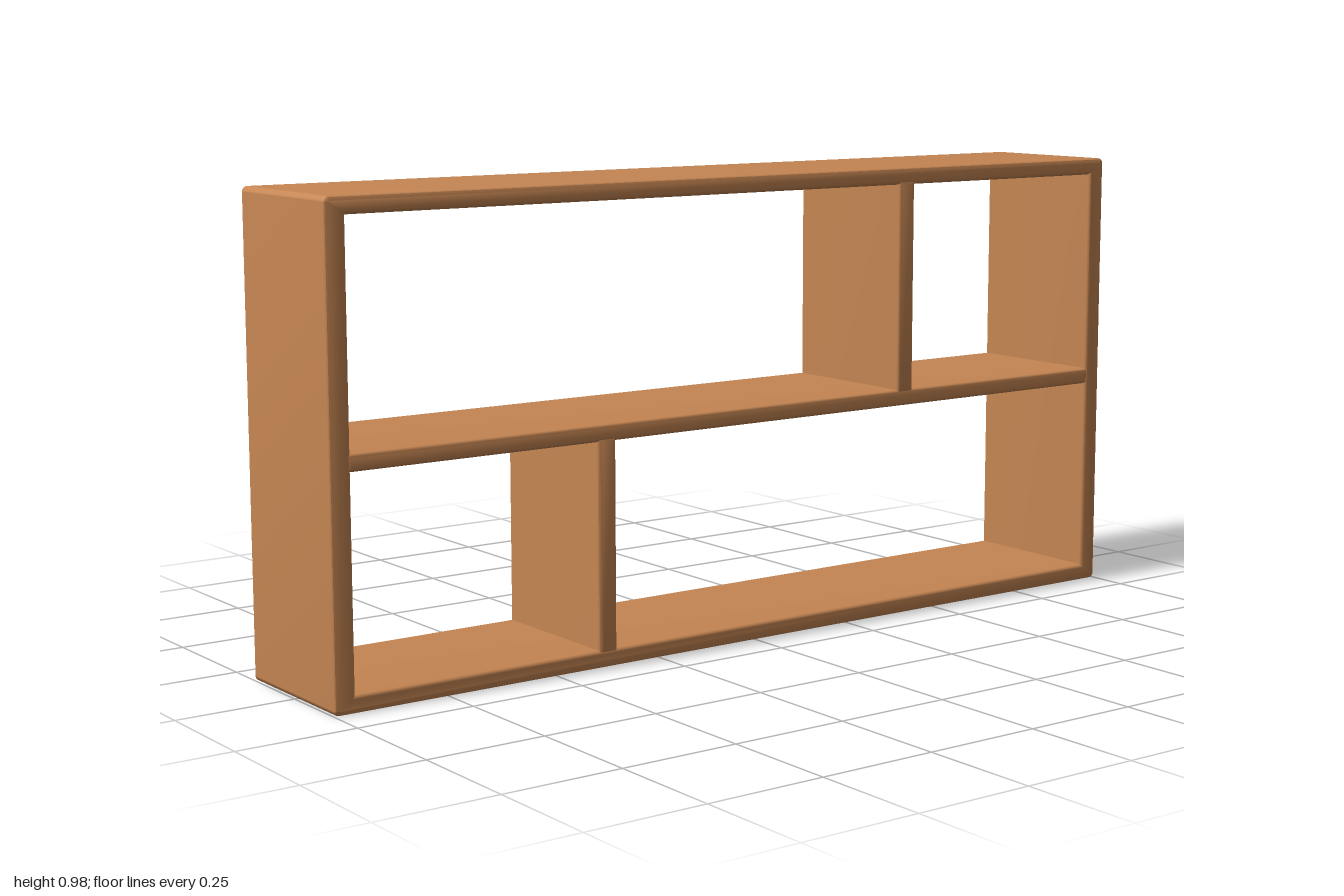
import * as THREE from 'three';
import { toCreasedNormals } from 'three/addons/utils/BufferGeometryUtils.js';

const BACK = -0.165, DEPTH = 0.33, ROUND = 0.009;

// Outline of a rectangle, optionally with rounded corners
function rect(PathType, x0, x1, y0, y1, r = 0) {
  const p = new PathType();
  if (r === 0) {
    p.moveTo(x0, y0).lineTo(x1, y0).lineTo(x1, y1).lineTo(x0, y1).closePath();
    return p;
  }
  const q = Math.PI / 2;
  p.moveTo(x0 + r, y0);
  p.absarc(x1 - r, y0 + r, r, -q, 0);
  p.absarc(x1 - r, y1 - r, r, 0, q);
  p.absarc(x0 + r, y1 - r, r, q, 2 * q);
  p.absarc(x0 + r, y0 + r, r, 2 * q, 3 * q);
  p.closePath();
  return p;
}

// Full-depth board: softened front edges, square flat back
function board(name, shape, material) {
  const geo = new THREE.ExtrudeGeometry(shape, {
    depth: DEPTH - ROUND, curveSegments: 4,
    bevelEnabled: true, bevelSize: ROUND, bevelOffset: -ROUND,
    bevelThickness: ROUND, bevelSegments: 4,
  });
  const pos = geo.attributes.position;
  for (let i = 0; i < pos.count; i++) pos.setZ(i, Math.max(pos.getZ(i), 0) + BACK);
  const mesh = new THREE.Mesh(toCreasedNormals(geo, 0.6), material);
  mesh.name = name;
  return mesh;
}

export function createModel() {
  const group = new THREE.Group();
  group.name = 'shelfUnit';
  const wood = new THREE.MeshStandardMaterial({ color: 0xc68653 });
  wood.name = 'warm wood';

  // Outer frame with a single opening
  const frame = rect(THREE.Shape, -1, 1, 0, 0.98, 0.011);
  frame.holes.push(rect(THREE.Path, -0.955, 0.955, 0.037, 0.944));
  group.add(board('outerFrame', frame, wood));

  // Middle shelf and the two staggered dividers, ends let into their neighbours
  const e = ROUND;
  const inner = [
    ['middleShelf', -0.955 - e, 0.955 + e, 0.463, 0.499],
    ['upperDivider', 0.385, 0.43, 0.499 - e, 0.944 + e],
    ['lowerDivider', -0.4, -0.355, 0.037 - e, 0.463 + e],
  ];
  for (const [name, ...b] of inner) group.add(board(name, rect(THREE.Shape, ...b), wood));

  return group;
}
